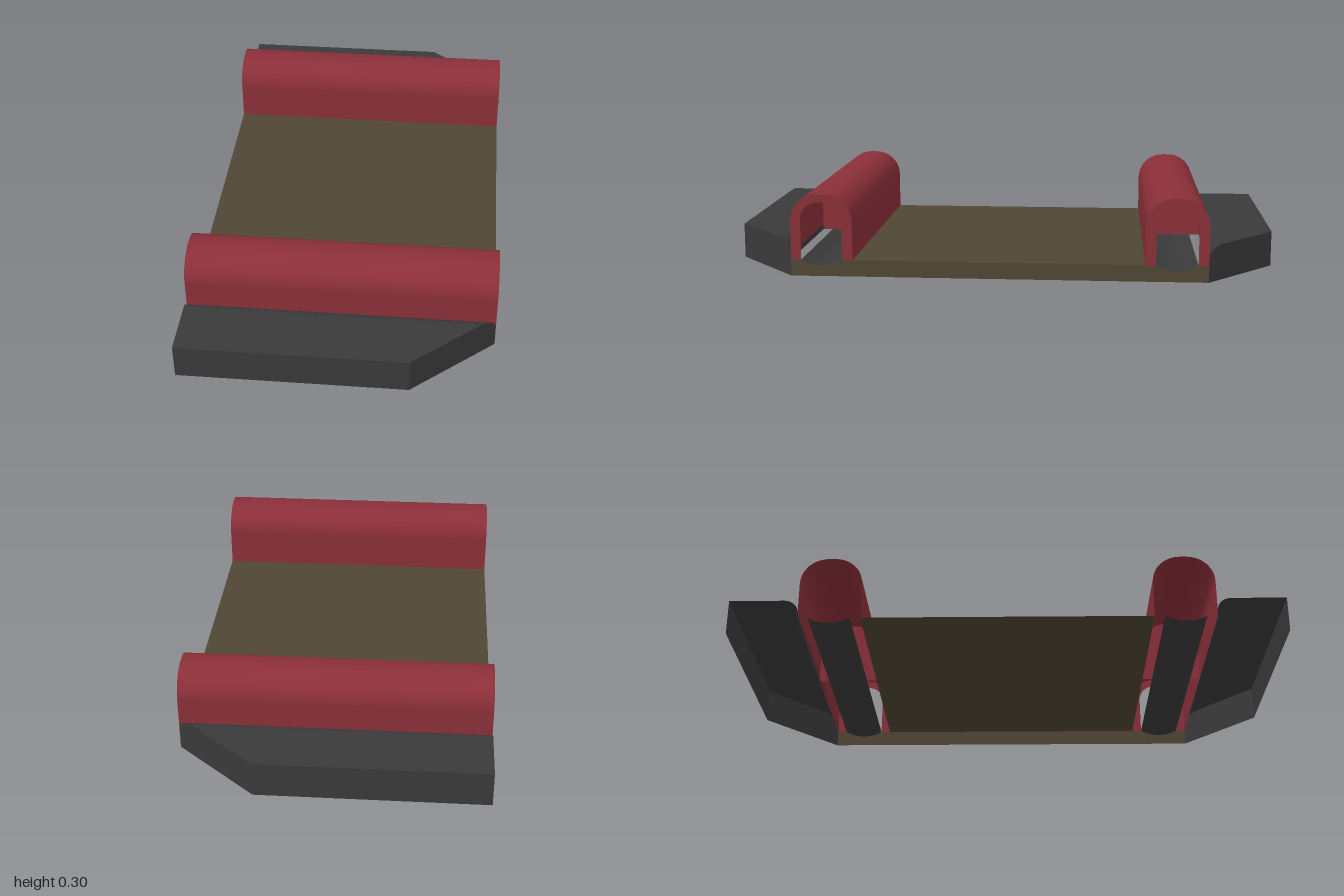
import * as THREE from 'three';

const X = 0.55, FLOOR = 0.06, MID = 0.6375;

function material(name, color) {
  const m = new THREE.MeshStandardMaterial({ color, side: THREE.DoubleSide });
  m.name = name;
  return m;
}

// Sheet swept along x from a [z, y] profile; xEnd(z) trims its +x end
function sweep(profile, xEnd = () => X) {
  const pos = [], idx = [];
  profile.forEach(([z, y], i) => {
    pos.push(-X, y, z, xEnd(z), y, z);
    if (i) {
      const a = 2 * i - 2;
      idx.push(a, a + 2, a + 1, a + 1, a + 2, a + 3);
    }
  });
  const g = new THREE.BufferGeometry();
  g.setAttribute('position', new THREE.Float32BufferAttribute(pos, 3));
  g.setIndex(idx);
  g.computeVertexNormals();
  return g;
}

// Round-shouldered arch outline as [offset, y] points, left foot to right foot
function arch(half, top, r) {
  const pts = [[-half, FLOOR]];
  for (const side of [-1, 1]) {
    for (let i = 0; i <= 10; i++) {
      const t = (side < 0 ? i : 10 - i) / 10 * Math.PI / 2;
      pts.push([side * (half - r + r * Math.cos(t)), top - r + r * Math.sin(t)]);
    }
  }
  pts.push([half, FLOOR]);
  return pts;
}

// Flat face pointing to +x
const facePlate = (shape) => new THREE.ShapeGeometry(shape, 12).rotateY(Math.PI / 2);
const shapeOf = (pts) => new THREE.Shape(pts.map(([u, v]) => new THREE.Vector2(u, v)));

export function createModel() {
  const model = new THREE.Group();
  const red = material('dark red', 0x8b2f39);
  const olive = material('olive brown', 0x504634);
  const grey = material('charcoal', 0x3a3a3a);
  const add = (name, geometry, mat, x = 0, z = 0) => {
    const mesh = new THREE.Mesh(geometry, mat);
    mesh.name = name;
    mesh.position.set(x, 0, z);
    model.add(mesh);
  };

  // Deck and its end wall, notched below each tunnel
  add('deck', sweep([[-0.525, FLOOR], [0.525, FLOOR]]), olive);
  const wall = new THREE.Shape();
  wall.moveTo(-0.75, 0);
  wall.lineTo(0.75, 0);
  wall.lineTo(0.75, FLOOR);
  for (const c of [MID, -MID]) {
    wall.lineTo(c + 0.075, FLOOR);
    wall.quadraticCurveTo(c, 0.02, c - 0.075, FLOOR);
  }
  wall.lineTo(-0.75, FLOOR);
  add('deckEndWall', facePlate(wall), olive, X);

  const outer = arch(0.1125, 0.3, 0.1);
  const inner = arch(0.075, 0.27, 0.065);
  const rim = shapeOf([...outer, ...inner.slice().reverse()]);

  // Gutter cross-section
  const gutter = [];
  for (let i = 0; i <= 12; i++) {
    const u = i / 6 - 1;
    gutter.push([u * 0.075, FLOOR - 0.02 * (1 - u * u)]);
  }

  // Kerb cross-section: flat top with a rounded inner edge
  const kerbTop = [[1, 0.13]];
  for (let i = 0; i <= 10; i++) {
    const t = i / 10 * Math.PI / 2;
    kerbTop.push([0.8 - 0.05 * Math.sin(t), 0.08 + 0.05 * Math.cos(t)]);
  }
  kerbTop.push([0.75, FLOOR]);
  const kerbEnd = (z) => X - (Math.abs(z) - 0.75) / 0.25 * 0.29;

  for (const s of [1, -1]) {
    const side = s > 0 ? 'front' : 'back';
    const flip = (pts) => pts.map(([z, y]) => [z * s, y]);

    add(side + 'Tunnel', sweep(outer), red, 0, s * MID);
    add(side + 'TunnelRim', facePlate(rim), red, X, s * MID);
    add(side + 'TunnelPartition', facePlate(shapeOf(outer)), red, 0, s * MID);
    add(side + 'Gutter', sweep(gutter), grey, 0, s * MID);

    add(side + 'KerbTop', sweep(flip(kerbTop), kerbEnd), grey);
    add(side + 'KerbWall', sweep(flip([[1, 0], [1, 0.13]]), kerbEnd), grey);

    // Slanted end wall following the rounded kerb edge
    const slant = facePlate(shapeOf([[0.75, 0], [1, 0], ...kerbTop]));
    const p = slant.attributes.position;
    for (let i = 0; i < p.count; i++) {
      const z = -p.getZ(i);
      p.setXYZ(i, kerbEnd(z), p.getY(i), z * s);
    }
    slant.computeVertexNormals();
    add(side + 'KerbSlantedEnd', slant, grey);
  }
  return model;
}
